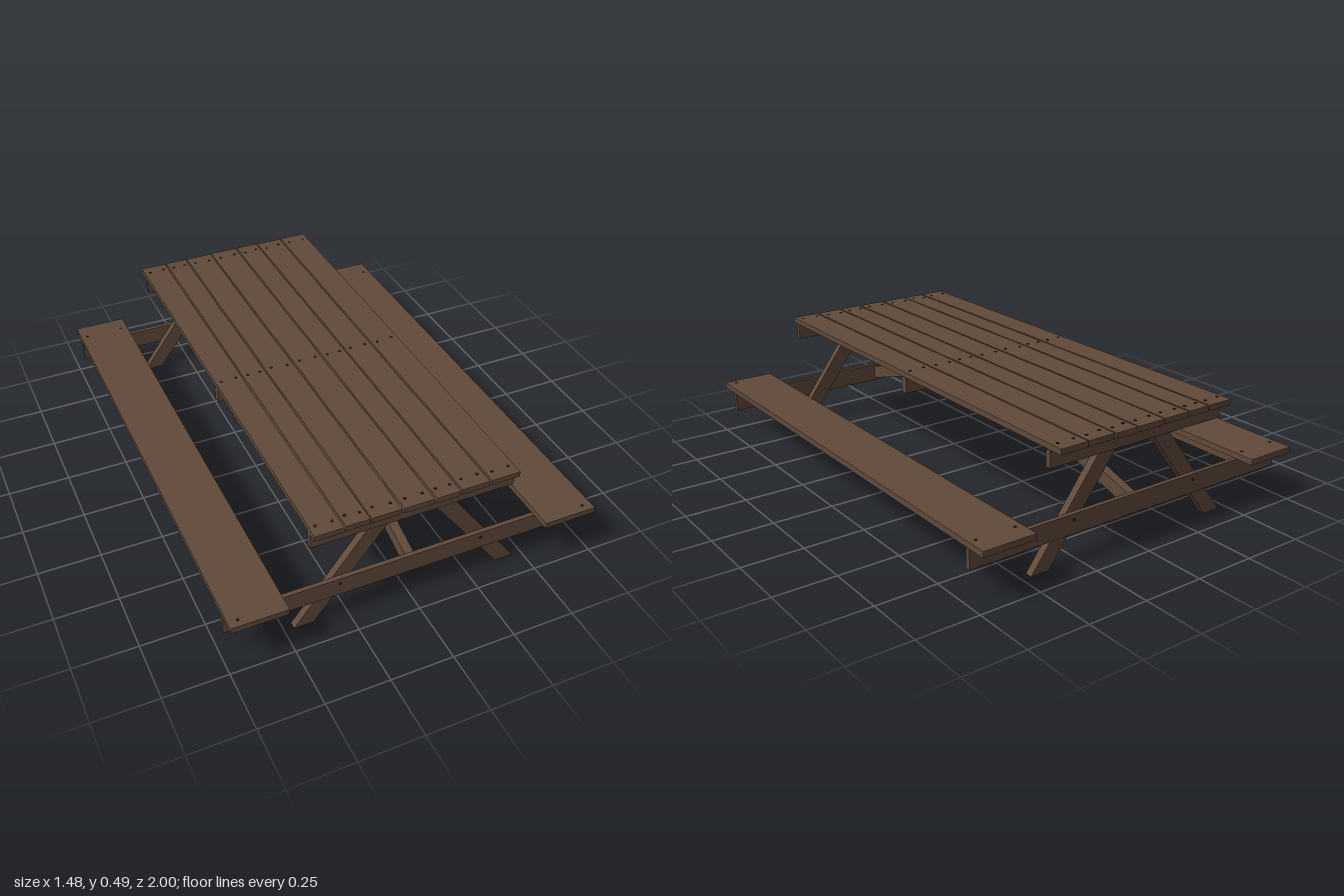
import * as THREE from 'three';

const wood = new THREE.MeshStandardMaterial({ color: 0x614a3a });
wood.name = 'brown wood';
const iron = new THREE.MeshStandardMaterial({ color: 0x2b1e17 });
iron.name = 'dark nail';

let seed = 7;
const rand = () => (seed = (seed * 16807) % 2147483647) / 2147483647;

export function createModel() {
  const group = new THREE.Group();
  group.name = 'picnicTable';

  const add = (name, geometry, material = wood) => {
    const mesh = new THREE.Mesh(geometry, material);
    mesh.name = name;
    group.add(mesh);
    return mesh;
  };

  // Box given by its extents
  const board = (name, x0, x1, y0, y1, z0, z1) =>
    add(name, new THREE.BoxGeometry(x1 - x0, y1 - y0, z1 - z0))
      .position.set((x0 + x1) / 2, (y0 + y1) / 2, (z0 + z1) / 2);

  // Flat outline given thickness along z
  const slab = (name, points, depth) => {
    const shape = new THREE.Shape(points.map(([x, y]) => new THREE.Vector2(x, y)));
    return add(name, new THREE.ExtrudeGeometry(shape, { depth, bevelEnabled: false }));
  };

  // Nail head, facing up or along z
  const nailGeometry = new THREE.CylinderGeometry(0.006, 0.006, 0.006, 8);
  const nail = (x, y, z, upright = true) => {
    const mesh = add('nail', nailGeometry, iron);
    mesh.position.set(x, y, z);
    if (!upright) mesh.rotation.x = Math.PI / 2;
  };

  // Tabletop planks with slightly worn, uneven edges
  const seams = [-0.412, -0.295, -0.195, -0.072, 0.055, 0.16, 0.28, 0.406];
  for (let i = 0; i < 7; i++) {
    const x0 = seams[i] + 0.002, x1 = seams[i + 1] - 0.002;
    const z0 = -0.968 - rand() * 0.006, z1 = 0.953 + rand() * 0.004;
    const geometry = new THREE.BoxGeometry(x1 - x0, 0.022, z1 - z0, 1, 1, 16);
    const wear = Array.from({ length: 34 }, () => rand() * 0.003);
    const p = geometry.attributes.position;
    for (let k = 0; k < p.count; k++) {
      const row = Math.round((p.getZ(k) / (z1 - z0) + 0.5) * 16);
      const side = Math.sign(p.getX(k));
      p.setX(k, p.getX(k) - side * wear[row * 2 + (side > 0 ? 1 : 0)]);
    }
    add('tablePlank', geometry).position.set((x0 + x1) / 2, 0.479, (z0 + z1) / 2);
    for (const z of [-0.92, 0, 0.905])
      for (const t of [0.22, 0.78]) nail(x0 + (x1 - x0) * t, 0.489, z + (rand() - 0.5) * 0.01);
  }

  // Middle batten under the top
  board('middleBatten', -0.406, 0.404, 0.405, 0.468, -0.015, 0.015);

  for (const s of [-1, 1]) {
    const span = (a, b) => (s > 0 ? [a, b] : [-b, -a]);

    // Bench seat and the rail beneath it
    board('benchSeat', ...span(0.52, 0.738), 0.206, 0.23, -1, 1);
    board('benchRail', ...span(0.615, 0.647), 0.13, 0.206, -0.9, 0.9);
    nail(s * 0.71, 0.229, -0.92);
    nail(s * 0.7, 0.229, 0.97);
    nail(s * 0.55, 0.229, -0.92);

    // End frame: top batten, bench beam and splayed legs
    board('endBatten', -0.408, 0.405, 0.402, 0.468, ...span(0.898, 0.918));
    board('benchBeam', -0.738, 0.735, 0.125, 0.203, ...span(0.9, 0.918));
    for (const m of [-1, 1]) {
      const outline = [[0.385, 0.003], [0.463, 0.003], [0.117, 0.468], [0.036, 0.468]]
        .map(([x, y]) => [m * x, y]);
      slab('leg', outline, 0.03).position.z = s > 0 ? 0.87 : -0.9;
      nail(m * 0.63, 0.18, s * 0.918, false);
      nail(m * 0.29, 0.18, s * 0.918, false);
    }
    nail(-0.1, 0.44, s * 0.918, false);
    nail(0.08, 0.45, s * 0.918, false);

    // Diagonal brace from the middle batten down to the bench beam
    const brace = slab('diagonalBrace',
      [[0, 0.41], [0.9, 0.136], [0.9, 0.193], [0, 0.465]], 0.036);
    brace.rotation.y = -s * Math.PI / 2;
    brace.position.x = s * 0.018;
  }

  return group;
}
